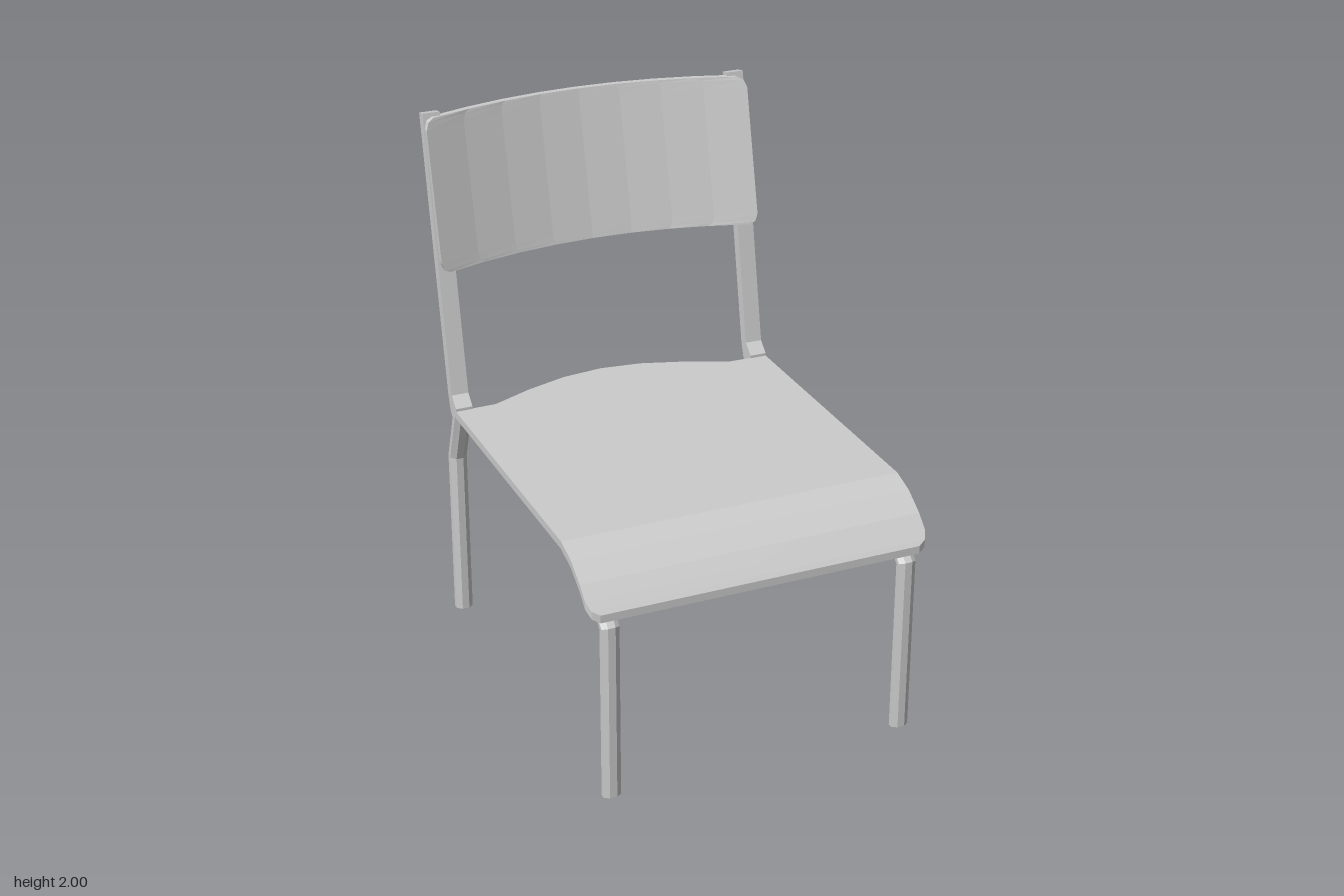
import * as THREE from 'three';

const material = new THREE.MeshStandardMaterial({ color: 0xcccccc, flatShading: true });

// Bends a subdivided box into a thin panel; place(u, side, row) gives each point.
// u runs -1..1 across, side is 1 on the outer face and 0 on the inner face.
function panel(name, rows, place) {
  const geo = new THREE.BoxGeometry(2, 1, 1, 8, 1, rows.length - 1);
  const p = geo.attributes.position;
  for (let i = 0; i < p.count; i++) {
    const row = Math.round((p.getZ(i) + 0.5) * (rows.length - 1));
    p.setXYZ(i, ...place(p.getX(i), p.getY(i) + 0.5, rows[row], row));
  }
  geo.computeVertexNormals();
  const mesh = new THREE.Mesh(geo, material);
  mesh.name = name;
  return mesh;
}

// Sweeps a flattened prism along a side-view path of [y, z, halfDepth] points.
function bar(name, path, x, halfWidth, sides) {
  const last = path.length - 1;
  const r = 1 / Math.cos(Math.PI / sides);
  const geo = new THREE.CylinderGeometry(r, r, 1, sides, last, false, Math.PI / sides);
  const p = geo.attributes.position;
  const dir = (a, b) => new THREE.Vector2(path[b][0] - path[a][0], path[b][1] - path[a][1]).normalize();
  for (let i = 0; i < p.count; i++) {
    const k = Math.round((p.getY(i) + 0.5) * last);
    const before = dir(Math.max(k - 1, 0), Math.max(k, 1));
    const after = dir(Math.min(k, last - 1), Math.min(k + 1, last));
    const t = before.clone().add(after).normalize();
    const [y, z, half] = path[k];
    const d = p.getZ(i) * half / t.dot(after); // mitred at the bends
    p.setXYZ(i, x + p.getX(i) * halfWidth, y - t.y * d, z + t.x * d);
  }
  // keep feet flat on the floor
  geo.computeVertexNormals();
  const mesh = new THREE.Mesh(geo, material);
  mesh.name = name;
  return mesh;
}

export function createModel() {
  const chair = new THREE.Group();
  chair.name = 'chair';

  // Seat: rows of [z, top height, half width], back to front, with a rolled front lip
  const seatRows = [
    [-0.5, 0.905, 0.645], [0.6, 0.905, 0.645], [0.69, 0.877, 0.645], [0.77, 0.825, 0.645],
    [0.815, 0.783, 0.645], [0.842, 0.757, 0.632], [0.855, 0.743, 0.605],
  ];
  chair.add(panel('seat', seatRows, (u, side, [z, y, half], row) => {
    const x = u * half;
    const bulge = row === 0 ? 0.145 * Math.max(0, Math.cos(Math.PI / 2 * x / 0.49)) : 0;
    return [x, y - 0.03 * (1 - side), z - bulge];
  }));

  // Backrest: rows of [y, half width], top to bottom, leaning back and curved across
  const backRows = [
    [1.99, 0.61], [1.978, 0.634], [1.95, 0.645], [1.47, 0.645], [1.442, 0.634], [1.43, 0.61],
  ];
  chair.add(panel('backrest', backRows, (u, side, [y, half]) => {
    const x = u * half;
    return [x, y, -0.835 + (1.99 - y) * 0.232 + 0.29 * x * x - 0.025 * (1 - side)];
  }));

  // Frame: mirrored legs and back posts
  const frontLeg = [[0, 0.833, 0.022], [0.675, 0.833, 0.022], [0.82, 0.69, 0.016], [0.872, 0.55, 0.008]];
  const rearLeg = [[0, -0.603, 0.028], [0.67, -0.603, 0.028], [0.885, -0.522, 0.026]];
  const backPost = [[0.872, -0.522, 0.026], [0.9, -0.53, 0.036], [0.945, -0.562, 0.022], [2, -0.768, 0.021]];
  for (const [side, s] of [['left', 1], ['right', -1]]) {
    chair.add(bar(side + 'FrontLeg', frontLeg, s * 0.565, 0.033, 8));
    chair.add(bar(side + 'RearLeg', rearLeg, s * 0.612, 0.033, 8));
    chair.add(bar(side + 'BackPost', backPost, s * 0.612, 0.033, 4));
  }
  return chair;
}
